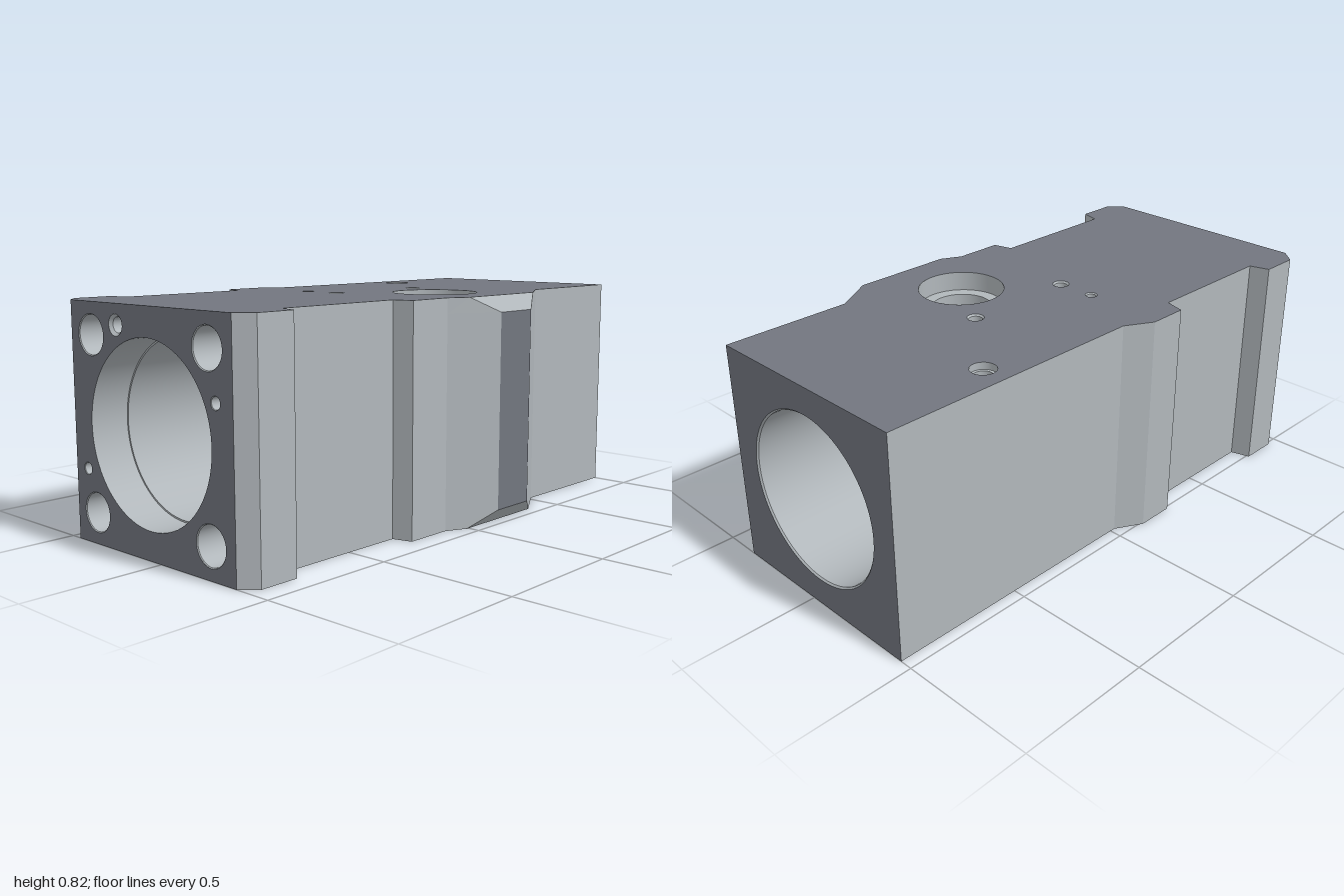
import * as THREE from 'three';
import { mergeGeometries } from 'three/addons/utils/BufferGeometryUtils.js';

const H = 0.82, CY = 0.41, CZ = -0.047;   // block height, bore axis
const R = 0.304, MOUTH = 0.31;            // bore radius, radius at its mouths
const LEFT = 1, RIGHT = -1;
const material = color => new THREE.MeshStandardMaterial({ color, side: THREE.DoubleSide });
const dark = material(0x72767f);          // ground faces
const light = material(0xb1b7bb);         // walls, bore and holes

// Vertical passages that break into the bore
const port = { x: 0.135, z: 0.18, r: 0.11, rim: 0.155, depth: 0.07 };
const pinHole = { x: 0.533, z: -0.354, r: 0.034, rim: 0.045, depth: 0.025 };
// Blind holes in the top: x, z, radius
const topPits = [[-0.148, -0.198, 0.022], [-0.148, -0.05, 0.03], [0.28, -0.05, 0.03]];
// Blind holes in the right end: z, y, mouth radius, inner radius, depth
const endPits = [[-0.205, 0.75, 0.036, 0.026, 0.1], [0.285, 0.55, 0.022, 0.02, 0.1], [-0.39, 0.255, 0.022, 0.02, 0.1]];
for (const sz of [-1, 1]) for (const sy of [-1, 1]) endPits.push([CZ + sz * 0.297, CY + sy * 0.3, 0.07, 0.067, 0.25]);

// Plan outline [x, z]; the two boss corners pull back at the top and bottom edges
const outline = (a, b) => [
  [1, -0.455], [-0.02, -0.455], [-0.12, -0.51], [-0.265, -0.51], [-0.285, -0.438], [-0.785, -0.438],
  [-0.805, -0.51], [-0.95, -0.51], [-1, -0.455], [-1, 0.364], [-0.95, 0.418], [-0.805, 0.418],
  [-0.785, 0.347], [-0.285, 0.347], [-0.265, 0.418], [-0.085, 0.418], a, b, [0.52, 0.364], [1, 0.364]];
const edge = outline([-0.01, 0.455], [0.37, 0.455]);
const middle = outline([0.1, 0.51], [0.28, 0.51]);
const END_WALL = 8, BOSS_WALL = 16;       // outline segments

// Flat face with round holes; holes are [u, v, radius]
function face(points, holes) {
  const shape = new THREE.Shape(points.map(p => new THREE.Vector2(p[0], p[1])));
  for (const [u, v, r] of holes) {
    const path = new THREE.Path();
    path.absarc(u, v, r, 0, Math.PI * 2, true);
    shape.holes.push(path);
  }
  return new THREE.ShapeGeometry(shape, 48);
}

// Smooth closed strip between two rings of points
function loft(a, b) {
  const n = a.length, index = [];
  for (let i = 0; i < n; i++) {
    const j = (i + 1) % n;
    index.push(i, j, n + i, j, n + j, n + i);
  }
  const g = new THREE.BufferGeometry().setFromPoints([...a, ...b]);
  g.setIndex(index);
  g.computeVertexNormals();
  return g;
}

// Revolved profile [radius, y] with a sharp edge at each point
const revolve = profile => mergeGeometries(profile.slice(1).map((p, i) =>
  new THREE.LatheGeometry([profile[i], p].map(q => new THREE.Vector2(q[0], q[1])), 48)));

const pitProfile = (r, inner, d) => [[r, 0], [inner, inner - r], [inner, -d], [0, -d - inner * 0.4]];

// Ring on the bore; x may vary with z so the edge follows a passage
const boreRing = (r, xAt) => Array.from({ length: 192 }, (_, i) => {
  const t = i / 192 * Math.PI * 2, z = CZ + r * Math.cos(t);
  return new THREE.Vector3(xAt(z), CY + r * Math.sin(t), z);
});
const at = x => () => x;
const beside = (h, s) => z => h.x + s * Math.sqrt(Math.max(0, h.r ** 2 - (z - h.z) ** 2));

// Strips along a bore profile of [radius, x function]
const boreStrips = profile => mergeGeometries(profile.slice(1).map((p, i) =>
  loft(boreRing(...profile[i]), boreRing(...p))));

// Passage wall from a level face to the bore surface (s = 1 above, -1 below)
function passage(h, y, s) {
  const ring = yAt => Array.from({ length: 96 }, (_, i) => {
    const t = i / 96 * Math.PI * 2, z = h.z + h.r * Math.sin(t);
    return new THREE.Vector3(h.x + h.r * Math.cos(t), yAt(z), z);
  });
  return loft(ring(() => y), ring(z => CY + s * Math.sqrt(Math.max(0, R * R - (z - CZ) ** 2))));
}

export function createModel() {
  const model = new THREE.Group();
  const add = (name, geometry, mat = light) => {
    const mesh = new THREE.Mesh(geometry, mat);
    mesh.name = name;
    model.add(mesh);
    return mesh;
  };

  // Top and bottom faces
  for (const s of [-1, 1]) {
    const holes = [port, pinHole].map(h => [h.x, s * h.z, s < 0 ? h.rim : h.r]);
    if (s < 0) for (const [x, z, r] of topPits) holes.push([x, -z, r]);
    const g = face(edge.map(([x, z]) => [x, s * z]), holes);
    g.rotateX(s * Math.PI / 2).translate(0, s < 0 ? H : 0, 0);
    add(s < 0 ? 'topFace' : 'bottomFace', g, dark);
  }

  // End faces
  for (const s of [LEFT, RIGHT]) {
    const holes = [[-s * CZ, CY, MOUTH]];
    if (s === RIGHT) for (const [z, y, r] of endPits) holes.push([z, y, r]);
    const corners = [[-0.455, 0], [0.364, 0], [0.364, H], [-0.455, H]].map(([z, y]) => [-s * z, y]);
    add(s === LEFT ? 'leftEndFace' : 'rightEndFace',
      face(corners, holes).rotateY(s * Math.PI / 2).translate(s, 0, 0), dark);
  }

  // Side walls with clamping grooves, boss and its sloped edges
  const levels = [[edge, 0], [middle, 0.057], [middle, 0.765], [edge, H]];
  const walls = [], bossFront = [];
  for (let k = 0; k < 3; k++) {
    const point = (level, i) => [level[0][i][0], level[1], level[0][i][1]];
    for (let i = 0; i < edge.length - 1; i++) {
      if (i === END_WALL) continue;
      const a = point(levels[k], i), b = point(levels[k], i + 1);
      const c = point(levels[k + 1], i + 1), d = point(levels[k + 1], i);
      (i === BOSS_WALL && k === 1 ? bossFront : walls).push(...a, ...b, ...c, ...a, ...c, ...d);
    }
  }
  for (const [name, corners, mat] of [['sideWalls', walls, light], ['bossFront', bossFront, dark]]) {
    const g = new THREE.BufferGeometry();
    g.setAttribute('position', new THREE.Float32BufferAttribute(corners, 3));
    g.computeVertexNormals();
    add(name, g, mat);
  }

  // Main bore: seat at the right end, inner shoulder, openings for the passages
  const lipA = at(-0.45), lipB = at(-0.3), lipR = 0.228;
  add('boreSeat', boreStrips([[MOUTH, at(-1)], [MOUTH, at(-0.86)], [R, at(-0.86)], [R, lipA]]));
  add('boreShoulder', boreStrips([[R, lipA], [lipR, lipA], [lipR, lipB], [lipR + 0.007, at(-0.293)],
    [R, at(-0.293)]]));
  add('boreMiddle', boreStrips([[R, at(-0.293)], [R, beside(port, -1)]]));
  add('boreBetweenPassages', boreStrips([[R, beside(port, 1)], [R, beside(pinHole, -1)]]));
  add('boreLeftMouth', boreStrips([[R, beside(pinHole, 1)], [R, at(0.994)], [MOUTH, at(1)]]));

  // Vertical passages with a counterbore on top
  for (const [name, h] of [['port', port], ['pinHole', pinHole]]) {
    add(name + 'Counterbore', revolve([[h.rim, 0], [h.rim, -h.depth], [h.r, -h.depth]]))
      .position.set(h.x, H, h.z);
    add(name + 'UpperWall', passage(h, H - h.depth, 1));
    add(name + 'LowerWall', passage(h, 0, -1));
  }

  // Blind holes
  for (const [x, z, r] of topPits)
    add('topBlindHole', revolve(pitProfile(r, r * 0.8, 0.06))).position.set(x, H, z);
  for (const [z, y, r, inner, d] of endPits) {
    const hole = add('endBoltHole', revolve(pitProfile(r, inner, d)));
    hole.rotation.z = Math.PI / 2;
    hole.position.set(-1, y, z);
  }
  return model;
}
